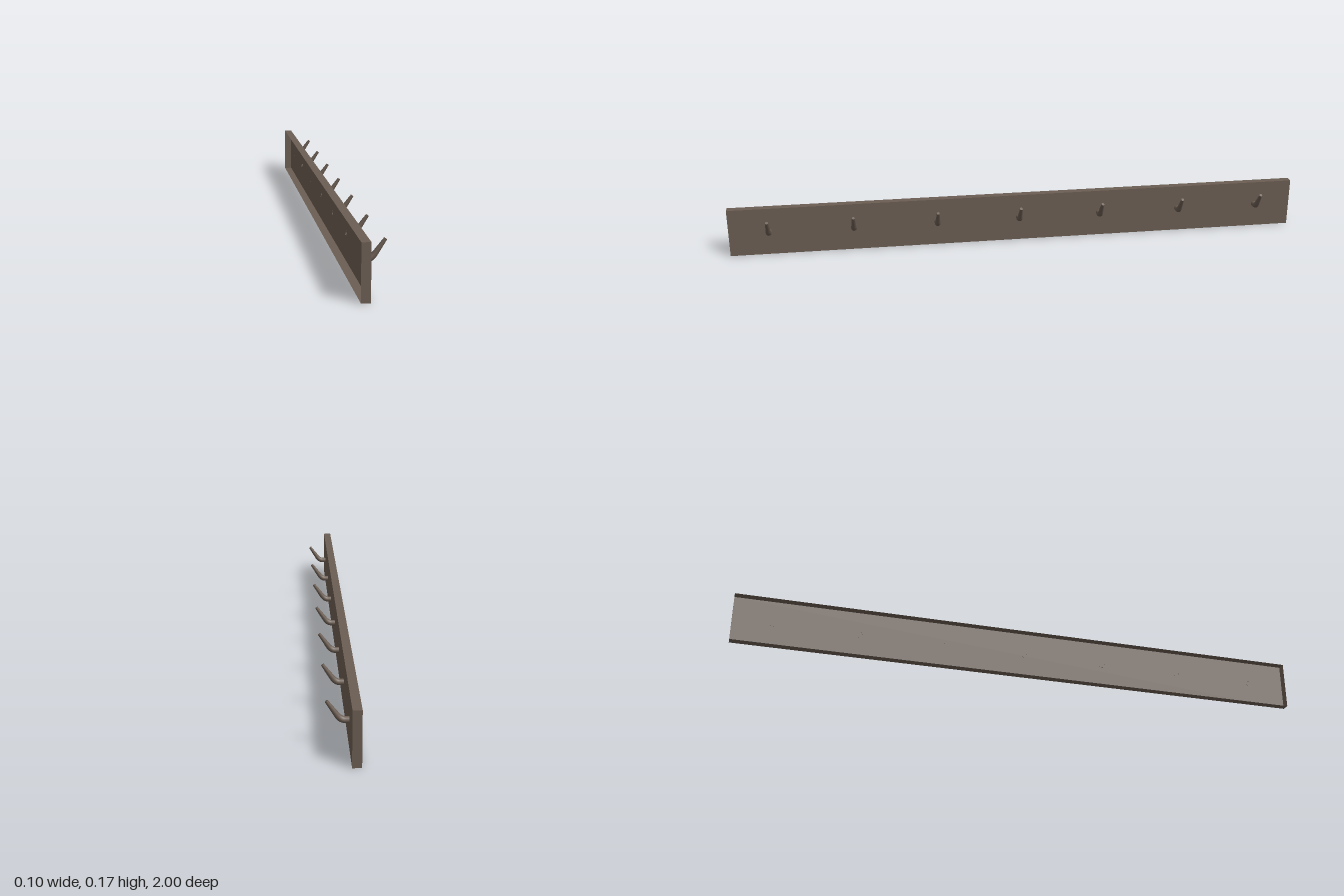
import * as THREE from 'three';

const brown = new THREE.MeshStandardMaterial({ color: 0x6b5d52, side: THREE.DoubleSide });
brown.name = 'dark brown';

// Board: thin shell with an open back (-x)
function makeBoard() {
  const geometry = new THREE.BoxGeometry(0.027, 0.167, 2);
  const index = Array.from(geometry.index.array);
  index.splice(6, 6); // drop the -x face
  geometry.setIndex(index);
  geometry.clearGroups();
  const board = new THREE.Mesh(geometry, brown);
  board.name = 'board';
  board.position.set(-0.0345, 0.0835, 0);
  return board;
}

// Hook: bent peg that narrows toward its tip
function makeHook() {
  const hook = new THREE.Group();
  const path = new THREE.CurvePath();
  const a = new THREE.Vector3(-0.0215, 0.085, 0);
  const b = new THREE.Vector3(-0.008, 0.085, 0);
  const corner = new THREE.Vector3(0.0045, 0.086, 0);
  const c = new THREE.Vector3(0.014, 0.1, 0);
  const tip = new THREE.Vector3(0.043, 0.141, 0);
  path.add(new THREE.LineCurve3(a, b));
  path.add(new THREE.QuadraticBezierCurve3(b, corner, c));
  path.add(new THREE.LineCurve3(c, tip));

  const rings = 20, sides = 16, tipRadius = 0.0051;
  const geometry = new THREE.TubeGeometry(path, rings, 1, sides, false);
  const position = geometry.attributes.position;
  const v = new THREE.Vector3();
  for (let i = 0; i <= rings; i++) {
    const t = i / rings;
    const centre = path.getPointAt(t);
    const radius = THREE.MathUtils.lerp(0.0098, tipRadius, Math.max(0, (t - 0.25) / 0.75));
    for (let j = 0; j <= sides; j++) {
      const k = i * (sides + 1) + j;
      v.fromBufferAttribute(position, k).sub(centre).multiplyScalar(radius).add(centre);
      position.setXYZ(k, v.x, v.y, v.z);
    }
  }
  const peg = new THREE.Mesh(geometry, brown);
  peg.name = 'hookPeg';

  // Flat end of the peg
  const cap = new THREE.Mesh(new THREE.CircleGeometry(tipRadius, sides), brown);
  cap.name = 'hookTip';
  cap.position.copy(tip);
  cap.quaternion.setFromUnitVectors(new THREE.Vector3(0, 0, 1), tip.clone().sub(c).normalize());

  hook.add(peg, cap);
  return hook;
}

export function createModel() {
  const model = new THREE.Group();
  model.name = 'hookRail';
  model.add(makeBoard());
  // Seven evenly spaced hooks
  for (let i = -3; i <= 3; i++) {
    const hook = makeHook();
    hook.name = 'hook' + (i + 4);
    hook.position.z = i * 0.2885 - 0.002;
    model.add(hook);
  }
  return model;
}
